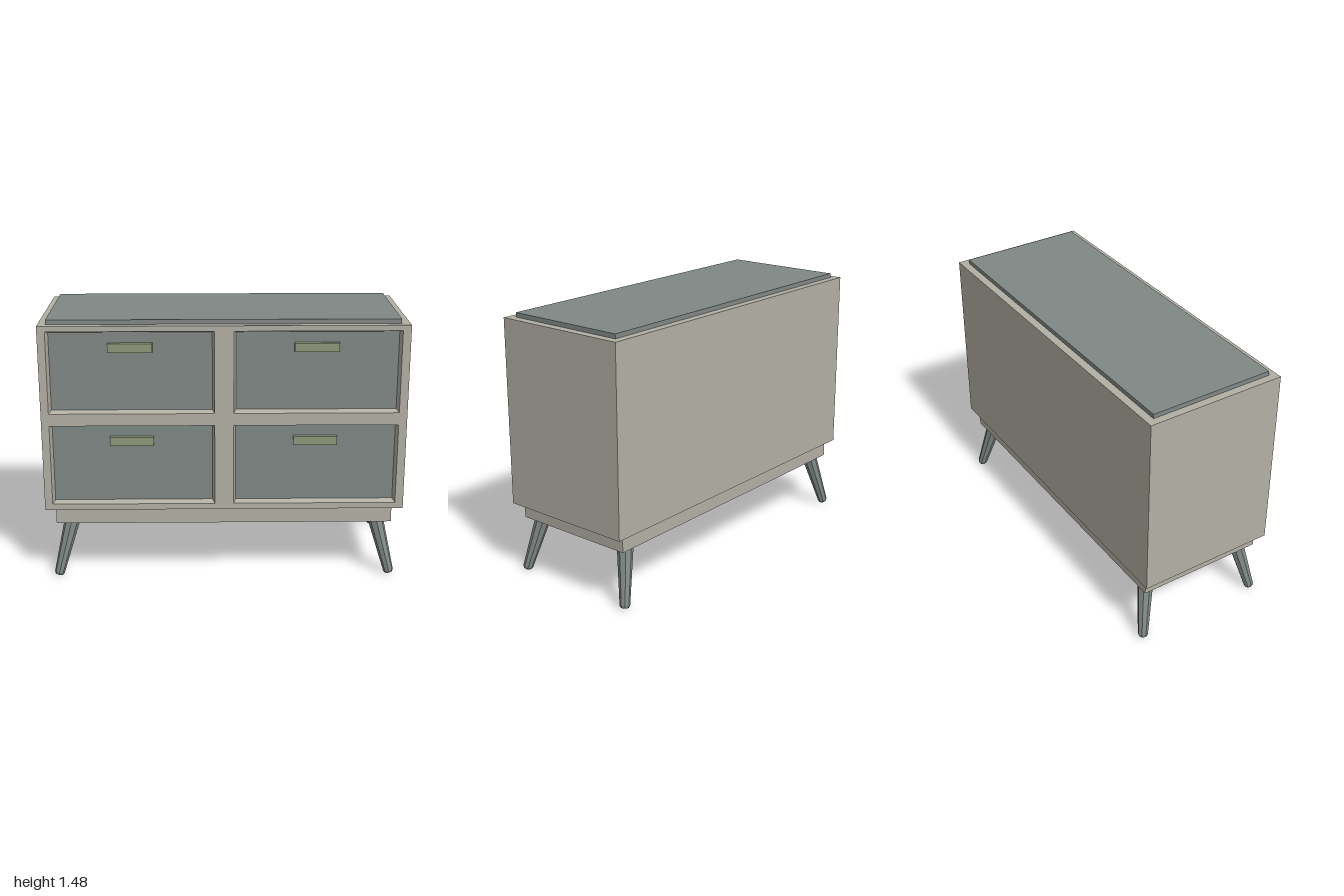
import * as THREE from 'three';

const paint = (name, color) => {
  const m = new THREE.MeshStandardMaterial({ color });
  m.name = name;
  return m;
};

export function createModel() {
  const model = new THREE.Group();
  model.name = 'sideboard';
  const stone = paint('warm grey', 0xb3b0a5);
  const slate = paint('slate grey', 0x808986);
  const olive = paint('olive green', 0x8f997c);

  const add = (name, geometry, material) => {
    const mesh = new THREE.Mesh(geometry, material);
    mesh.name = name;
    model.add(mesh);
    return mesh;
  };
  // Box given by its lowest and highest corners
  const box = (name, material, x0, x1, y0, y1, z0, z1) =>
    add(name, new THREE.BoxGeometry(x1 - x0, y1 - y0, z1 - z0), material)
      .position.set((x0 + x1) / 2, (y0 + y1) / 2, (z0 + z1) / 2);
  const corners = (x0, x1, y0, y1) => [[x0, y0], [x1, y0], [x1, y1], [x0, y1]];
  const outline = (pts, Kind) => new Kind(pts.map(([x, y]) => new THREE.Vector2(x, y)));

  const frontZ = 0.4, panelZ = 0.36, bevel = 0.012;

  // Cabinet, plinth and top panel
  box('cabinetBody', stone, -1, 1, 0.413, 1.46, -0.394, panelZ - 0.005);
  box('plinth', stone, -0.944, 0.942, 0.32, 0.413, -0.363, 0.37);
  box('topPanel', slate, -0.957, 0.953, 1.46, 1.485, -0.35, 0.357);

  // Front frame with four drawer openings
  const frame = outline(corners(-1, 1, 0.413, 1.46), THREE.Shape);
  for (const [x0, x1] of [[-0.957, -0.053], [0.051, 0.955]]) {
    for (const [y0, y1] of [[0.447, 0.903], [0.972, 1.43]]) {
      const outer = corners(x0, x1, y0, y1);
      const inner = corners(x0 + bevel, x1 - bevel, y0 + bevel, y1 - bevel);
      frame.holes.push(outline(outer, THREE.Path));

      // Sloping sides of the opening
      const positions = [];
      for (let i = 0; i < 4; i++) {
        const j = (i + 1) % 4;
        const a = [...outer[i], frontZ], b = [...outer[j], frontZ];
        const c = [...inner[j], panelZ], d = [...inner[i], panelZ];
        positions.push(...a, ...b, ...c, ...a, ...c, ...d);
      }
      const reveal = new THREE.BufferGeometry();
      reveal.setAttribute('position', new THREE.Float32BufferAttribute(positions, 3));
      reveal.computeVertexNormals();
      add('openingReveal', reveal, stone);

      // Drawer front and its handle
      box('drawerFront', slate, x0 + 0.005, x1 - 0.005, y0 + 0.005, y1 - 0.005, panelZ - 0.005, panelZ);
      const cx = (x0 + x1) / 2 - 0.003;
      box('drawerHandle', olive, cx - 0.121, cx + 0.121, y1 - 0.119, y1 - 0.07, panelZ, panelZ + 0.028);
    }
  }
  const frameGeometry = new THREE.ExtrudeGeometry(frame, { depth: frontZ - panelZ + 0.005, bevelEnabled: false });
  add('frontFrame', frameGeometry, stone).position.z = panelZ - 0.005;

  // Splayed, tapered legs
  const up = new THREE.Vector3(0, 1, 0);
  const legMaterial = slate.clone();
  legMaterial.name = 'leg slate grey';
  legMaterial.flatShading = true;
  for (const sx of [-1, 1]) {
    for (const sz of [-1, 1]) {
      const foot = new THREE.Vector3(sx * 0.943, 0.007, sz * 0.371);
      const top = new THREE.Vector3(sx * 0.858, 0.335, sz * 0.303);
      const axis = top.clone().sub(foot);
      const profile = [[0, 0], [0.021, 0], [0.028, 0.013], [0.045, axis.length()], [0, axis.length()]]
        .map(([r, y]) => new THREE.Vector2(r, y));
      const leg = add('leg', new THREE.LatheGeometry(profile, 8), legMaterial);
      leg.position.copy(foot);
      leg.quaternion.setFromUnitVectors(up, axis.normalize());
    }
  }
  return model;
}
